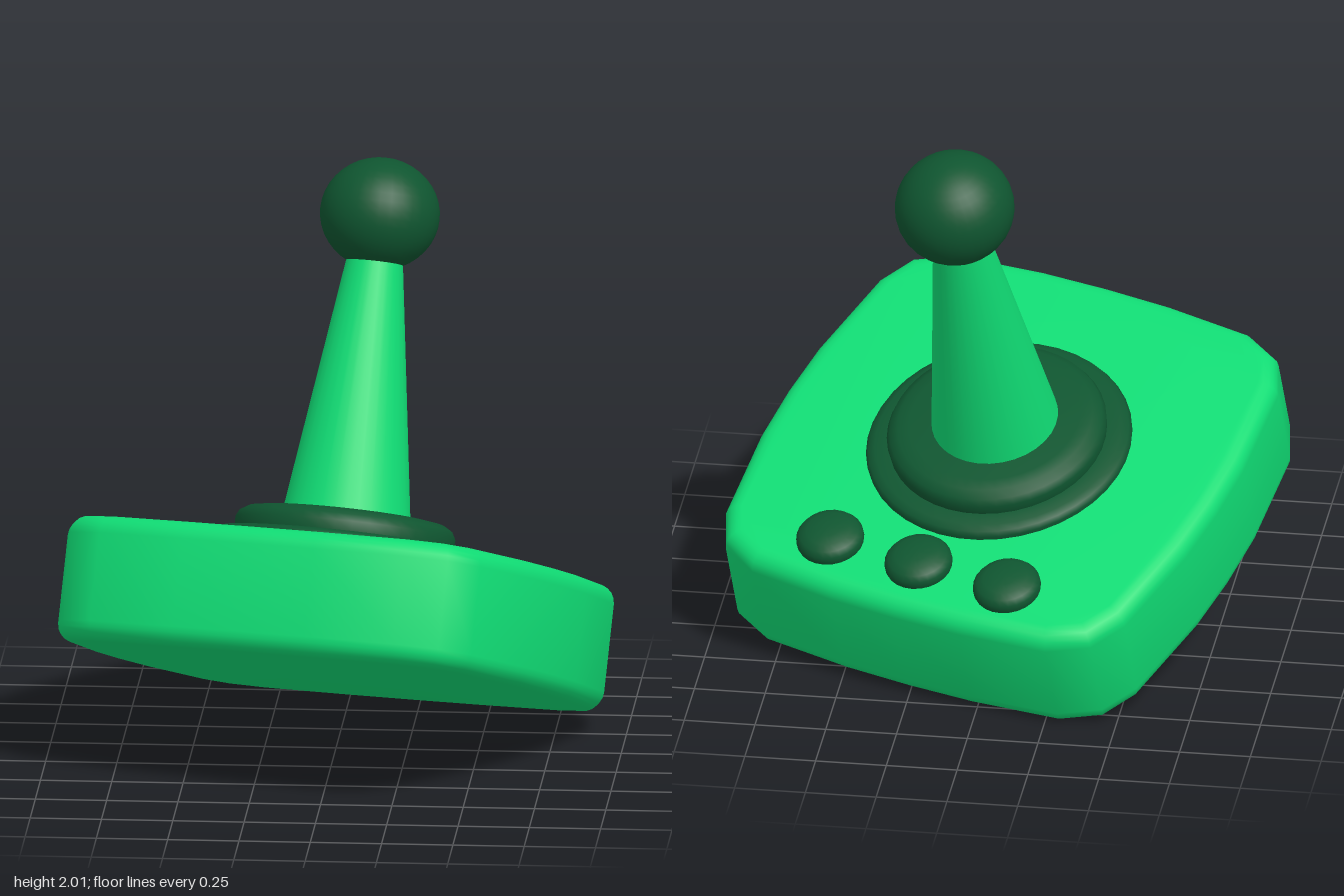
import * as THREE from 'three';
import { toCreasedNormals } from 'three/addons/utils/BufferGeometryUtils.js';

export function createModel() {
  const green = new THREE.MeshStandardMaterial({ color: 0x10dc74 });
  green.name = 'bright green';
  const dark = new THREE.MeshStandardMaterial({ color: 0x0f5530 });
  dark.name = 'dark green';

  // Everything is built upright around the base centre, then tilted as one.
  const joystick = new THREE.Group();
  joystick.name = 'joystick';
  const add = (name, geometry, material, x = 0, y = 0, z = 0) => {
    const mesh = new THREE.Mesh(geometry, material);
    mesh.name = name;
    mesh.position.set(x, y, z);
    joystick.add(mesh);
    return mesh;
  };
  const lathe = (points, segments) => toCreasedNormals(
    new THREE.LatheGeometry(points.map(([r, y]) => new THREE.Vector2(r, y)), segments).toNonIndexed(), 0.8);

  // Base: rounded square with bulging sides and soft edges
  const quarter = [[0.85, 0], [0.842, 0.22], [0.79, 0.595], [0.722, 0.73], [0.58, 0.802], [0.25, 0.83]];
  const outline = [];
  for (const [sx, sy, flip] of [[1, 1, false], [-1, 1, true], [-1, -1, false], [1, -1, true]]) {
    const pts = quarter.map(([x, y]) => new THREE.Vector2(sx * x, sy * y));
    if (flip) {
      pts.reverse();
      outline.push(new THREE.Vector2(0, sy * 0.835), ...pts.slice(0, 5));
    } else {
      outline.push(...pts);
    }
  }
  const bevel = 0.065, height = 0.44;
  const baseGeometry = new THREE.ExtrudeGeometry(new THREE.Shape(outline), {
    depth: height - 2 * bevel, steps: 1, bevelEnabled: true,
    bevelThickness: bevel, bevelSize: bevel, bevelOffset: -bevel, bevelSegments: 5,
  });
  baseGeometry.translate(0, 0, -(height / 2 - bevel));
  baseGeometry.rotateX(-Math.PI / 2);
  add('base', toCreasedNormals(baseGeometry, 0.8), green);

  // Two-tier collar around the stick
  add('collar', lathe([
    [0.465, 0.2], [0.47, 0.235], [0.46, 0.252], [0.435, 0.262], [0.385, 0.265],
    [0.388, 0.3], [0.375, 0.325], [0.345, 0.343], [0.3, 0.35], [0, 0.35],
  ], 40), dark);

  // Tapered stick with a slightly flattened knob
  const stick = new THREE.CylinderGeometry(0.097, 0.225, 0.92, 32);
  add('stick', stick, green, 0, 0.8, 0);
  const knob = add('knob', new THREE.SphereGeometry(0.21, 32, 20), dark, 0, 1.41, 0);
  knob.scale.y = 0.94;

  // Row of three rounded buttons along the back
  const buttonGeometry = lathe([
    [0.112, 0], [0.12, 0.03], [0.118, 0.05], [0.104, 0.068], [0.078, 0.08], [0.04, 0.086], [0, 0.088],
  ], 24);
  for (const x of [-0.35, 0, 0.35]) add('button', buttonGeometry, dark, x, 0.2, -0.625);

  // Tilt backwards and turn
  const up = new THREE.Vector3(0.0905, 1, -0.362).normalize();
  const front = new THREE.Vector3(0.941, 0.037, 0.338).cross(up).normalize();
  const side = up.clone().cross(front);
  joystick.quaternion.setFromRotationMatrix(new THREE.Matrix4().makeBasis(side, up, front));
  joystick.position.y = 0.485;

  const model = new THREE.Group();
  model.name = 'model';
  model.add(joystick);
  return model;
}
